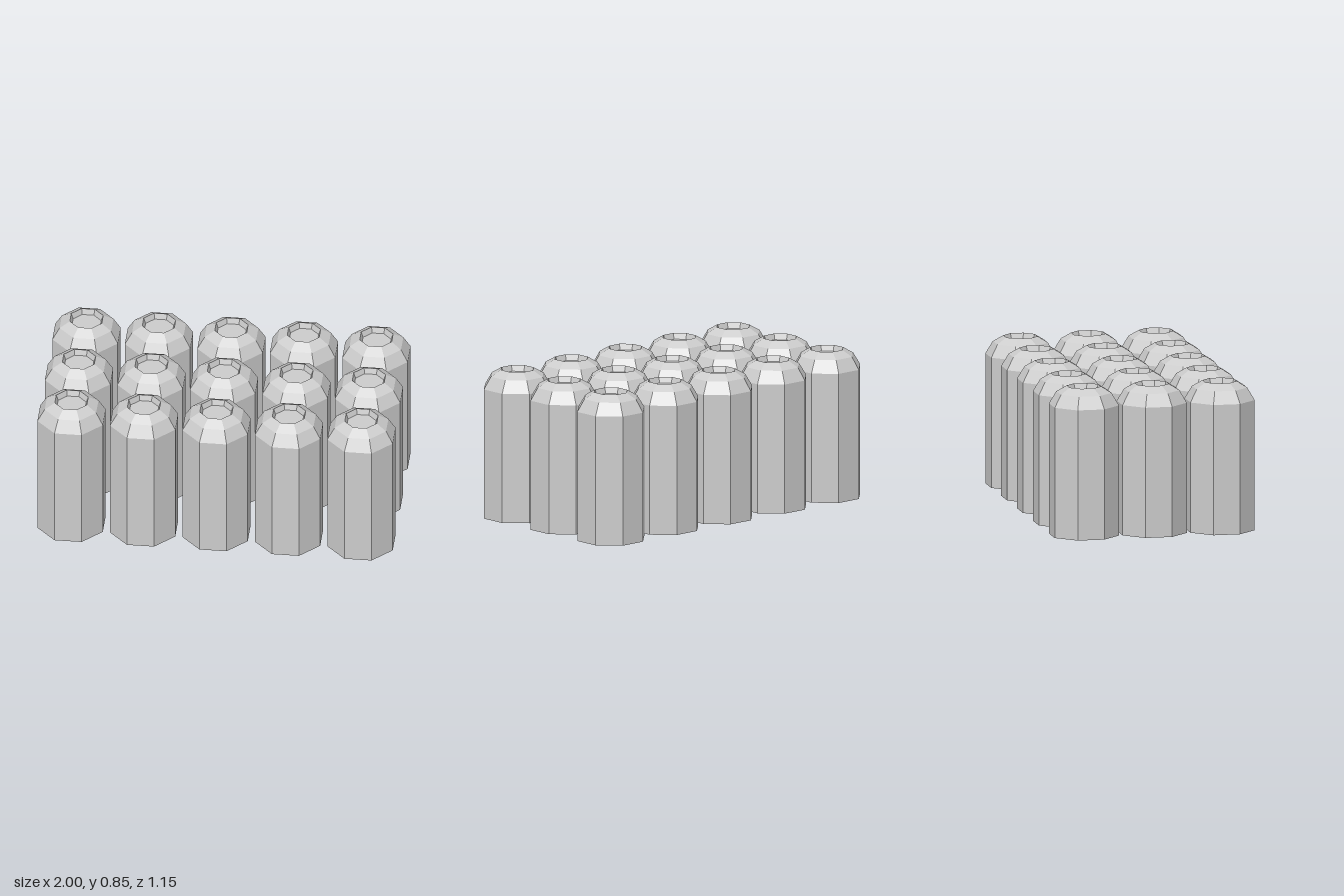
import * as THREE from 'three';

export function createModel() {
  const group = new THREE.Group();
  group.name = 'canisterBlock';
  // Shells are open underneath, so the inside is visible too
  const grey = new THREE.MeshStandardMaterial({ color: 0xcccccc, flatShading: true, side: THREE.DoubleSide });
  grey.name = 'light grey';

  // Profile as [distance to flat side, height]: wall, two-step shoulder, sunken lid
  const corner = 1 / Math.cos(Math.PI / 8);
  const profile = [
    [0.184, 0], [0.184, 0.74], [0.145, 0.81], [0.09, 0.845], [0.079, 0.812], [0, 0.812],
  ].map(([r, y]) => new THREE.Vector2(r * corner, y));
  const canister = new THREE.LatheGeometry(profile, 8, Math.PI / 8);

  // Five columns by three rows
  for (let row = -1; row <= 1; row++) {
    for (let col = -2; col <= 2; col++) {
      const mesh = new THREE.Mesh(canister, grey);
      mesh.name = `canister_${row + 2}_${col + 3}`;
      mesh.position.set(col * 0.408, 0, row * 0.389);
      group.add(mesh);
    }
  }
  return group;
}
